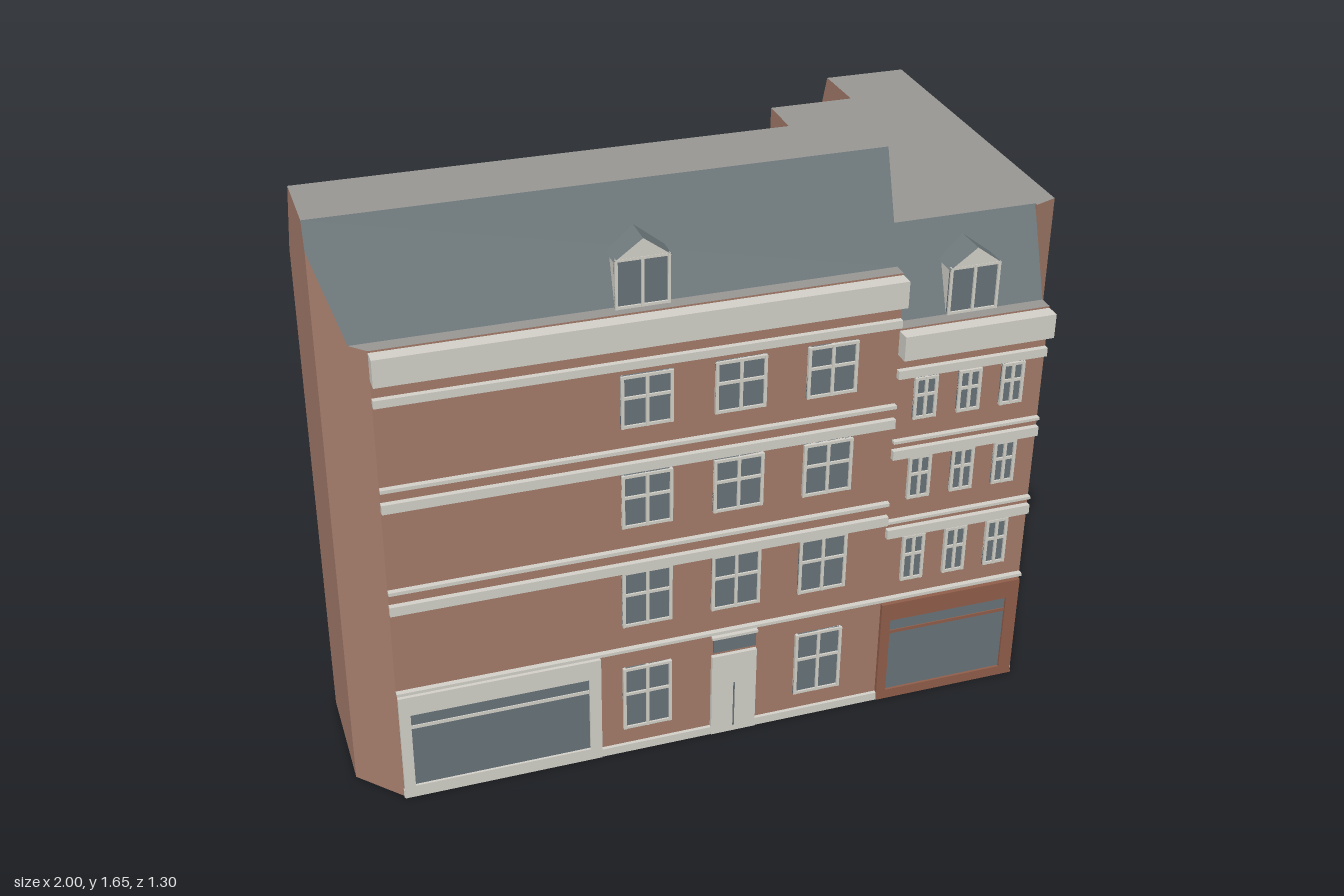
import * as THREE from 'three';

const mat = (name, color, side = THREE.FrontSide) => {
  const m = new THREE.MeshStandardMaterial({ color, side });
  m.name = name;
  return m;
};

export function createModel() {
  const model = new THREE.Group();
  model.name = 'townHouses';
  const D = THREE.DoubleSide;
  const brick = mat('brick', 0xa57d6b, D), slate = mat('slate', 0x707b7e, D);
  const flat = mat('flatRoof', 0x9a9895, D), white = mat('whiteTrim', 0xd4d2ca, D);
  const glass = mat('glass', 0x69747a), shopBrown = mat('shopfrontBrown', 0x925f4b);
  const F = 0.61; // street front

  // Flat polygons (convex, or fan-shaped from the first corner) in one mesh
  function faces(name, material, polys, parent = model) {
    const pos = [];
    for (const p of polys)
      for (let i = 1; i < p.length - 1; i++) pos.push(...p[0], ...p[i], ...p[i + 1]);
    const g = new THREE.BufferGeometry();
    g.setAttribute('position', new THREE.Float32BufferAttribute(pos, 3));
    g.computeVertexNormals();
    const m = new THREE.Mesh(g, material);
    m.name = name;
    parent.add(m);
  }
  // Horizontal plate from an x,z outline
  function plate(name, material, outline, y) {
    const g = new THREE.ShapeGeometry(new THREE.Shape(outline.map(p => new THREE.Vector2(...p))));
    const m = new THREE.Mesh(g.rotateX(Math.PI / 2), material);
    m.position.y = y;
    m.name = name;
    model.add(m);
  }
  function box(name, material, x0, x1, y0, y1, z0, z1, parent = model) {
    const m = new THREE.Mesh(new THREE.BoxGeometry(x1 - x0, y1 - y0, z1 - z0), material);
    m.position.set((x0 + x1) / 2, (y0 + y1) / 2, (z0 + z1) / 2);
    m.name = name;
    parent.add(m);
  }
  const wall = ([x0, z0], [x1, z1], top, y0 = 0) => [[x0, y0, z0], [x1, y0, z1], [x1, top, z1], [x0, top, z0]];

  // Tall house: walls with a chamfered left corner
  faces('tallHouseWalls', brick, [
    wall([-0.89, F], [0.48, F], 1.36),
    wall([0.48, 0.19], [-1, 0.16], 1.44),
    [[-1, 0, 0.495], [-0.89, 0, F], [-0.89, 1.36, F], [-0.93, 1.36, 0.57], [-1, 1.58, 0.495]],
    [[-1, 0, 0.16], [-1, 0, 0.495], [-1, 1.58, 0.495], [-1, 1.65, 0.47], [-1, 1.65, 0.26], [-1, 1.44, 0.16]],
    [[0.48, 0, 0.57], [0.48, 0, 0.19], [0.48, 1.44, 0.19], [0.48, 1.65, 0.265], [0.48, 1.65, 0.47], [0.48, 1.36, 0.57]],
    [[0.48, 0, F], [0.48, 0, 0.57], [0.48, 1.36, 0.57], [0.48, 1.36, F]],
  ]);
  plate('tallHouseFloor', brick, [[-1, 0.16], [0.48, 0.19], [0.48, F], [-0.89, F], [-1, 0.495]], 0);
  faces('tallHouseRoofSlopes', slate, [
    [[-1, 1.65, 0.47], [-1, 1.58, 0.495], [-0.93, 1.36, 0.57], [0.48, 1.36, 0.57], [0.48, 1.65, 0.47]],
    [[0.48, 1.65, 0.265], [0.48, 1.44, 0.19], [-1, 1.44, 0.16], [-1, 1.65, 0.26]],
  ]);
  plate('tallHouseFlatRoof', flat, [[-1, 0.26], [0.48, 0.265], [0.48, 0.47], [-1, 0.47]], 1.65);
  plate('tallHouseEavesLedge', flat, [[-0.93, 0.57], [0.48, 0.57], [0.48, F], [-0.89, F]], 1.36);

  // Low house: long rear wing with a step; the rear roof slope is open
  faces('lowHouseWalls', brick, [
    wall([0.48, F], [0.91, F], 1.2),
    wall([0.91, F], [0.91, 0.57], 1.2),
    [[0.91, 0, 0.57], [0.91, 0, 0.48], [0.91, 1.44, 0.48], [0.91, 1.2, 0.57]],
    wall([0.91, 0.49], [0.975, 0.465], 1.44),
    [[0.975, 0, 0.465], [1, 0, -0.65], [1, 1.2, -0.65], [0.998, 1.44, -0.565], [0.975, 1.44, 0.465]],
    wall([1, -0.65], [0.75, -0.65], 1.2),
    [[0.75, 0, -0.65], [0.75, 0, -0.38], [0.75, 1.44, -0.38], [0.75, 1.44, -0.565], [0.75, 1.2, -0.65]],
    wall([0.75, -0.38], [0.495, -0.38], 1.44),
    wall([0.495, -0.38], [0.481, 0.48], 1.44),
  ]);
  plate('lowHouseFloor', brick, [[0.48, F], [0.91, F], [0.91, 0.49], [0.975, 0.465], [1, -0.65],
    [0.75, -0.65], [0.75, -0.38], [0.495, -0.38]], 0);
  plate('lowHouseFlatRoof', flat, [[0.48, 0.48], [0.91, 0.48], [0.91, 0.49], [0.975, 0.465], [0.998, -0.565],
    [0.75, -0.565], [0.75, -0.38], [0.495, -0.38]], 1.44);
  faces('lowHouseRoofSlope', slate, [[[0.48, 1.44, 0.48], [0.48, 1.2, 0.57], [0.91, 1.2, 0.57], [0.91, 1.44, 0.48]]]);
  plate('lowHouseEavesLedge', flat, [[0.48, 0.57], [0.91, 0.57], [0.91, F], [0.48, F]], 1.2);

  // Cornices and string courses
  box('tallHouseCornice', white, -0.89, 0.48, 1.28, 1.355, F, 0.65);
  box('lowHouseCornice', white, 0.48, 0.91, 1.125, 1.195, F, 0.65);
  for (const [y0, y1] of [[1.21, 1.232], [0.97, 0.98], [0.91, 0.937], [0.665, 0.675], [0.602, 0.63], [0.345, 0.354]])
    box('tallHouseStringCourse', white, -0.89, 0.48, y0, y1, F, 0.625);
  for (const [y0, y1] of [[1.057, 1.082], [0.86, 0.868], [0.81, 0.838], [0.605, 0.613], [0.557, 0.585], [0.345, 0.354]])
    box('lowHouseStringCourse', white, 0.48, 0.91, y0, y1, F, 0.625);
  for (const [x0, x1] of [[-0.89, -0.02], [0.11, 0.91]])
    box('plinth', white, x0, x1, 0, 0.025, F, 0.62);

  // Window: glass plate, frame, mullion and crossbars
  function pane(name, cx, w, y0, y1, z, bars, t) {
    const g = new THREE.Group();
    g.name = name;
    const x0 = cx - w / 2, x1 = cx + w / 2, h = y1 - y0;
    box('glass', glass, x0, x1, y0, y1, z, z + 0.005, g);
    for (const x of [x0, cx - t / 2, x1 - t]) box('upright', white, x, x + t, y0, y1, z, z + 0.011, g);
    for (const f of [0, ...bars, 1]) {
      const y = y0 + f * (h - t);
      box('rail', white, x0, x1, y, y + t, z, z + 0.01, g);
    }
    model.add(g);
  }
  const rows = [[1.04, 1.19], [0.74, 0.9], [0.425, 0.602], [0.08, 0.285]];
  rows.forEach(([y0, y1], i) => [-0.205, 0.045, 0.295].forEach((x, j) => {
    if (i < 3 || j !== 1) pane('tallHouseWindow', x, 0.138, y0, y1, F, [0.58], 0.008);
  }));
  for (const [y0, y1] of [[0.925, 1.05], [0.675, 0.808], [0.405, 0.552]])
    for (const x of [0.565, 0.692, 0.818]) pane('lowHouseWindow', x, 0.066, y0, y1, F, [0.58], 0.008);

  // Shopfronts: frame around a large pane with a glazing bar
  function shopfront(name, m, x0, x1, gx0, gx1, gy0, gy1, top) {
    const g = new THREE.Group();
    g.name = name;
    box('display', glass, gx0, gx1, gy0, gy1, F, F + 0.005, g);
    box('leftPost', m, x0, gx0, 0, top, F, 0.622, g);
    box('rightPost', m, gx1, x1, 0, top, F, 0.622, g);
    box('fascia', m, gx0, gx1, gy1, top, F, 0.622, g);
    box('stallRiser', m, gx0, gx1, 0, gy0, F, 0.622, g);
    box('glazingBar', m, gx0, gx1, gy1 - 0.048, gy1 - 0.038, F, 0.618, g);
    model.add(g);
  }
  shopfront('wideShopfront', white, -0.888, -0.337, -0.858, -0.37, 0.037, 0.275, 0.335);
  shopfront('narrowShopfront', shopBrown, 0.482, 0.908, 0.51, 0.87, 0.03, 0.275, 0.332);

  // Front door with transom
  box('frontDoorLeaf', white, -0.02, 0.11, 0, 0.268, F, 0.622);
  box('doorJoint', glass, 0.043, 0.047, 0.02, 0.17, 0.622, 0.624);
  box('doorTransom', glass, -0.015, 0.108, 0.28, 0.325, F, 0.618);
  box('doorLintel', white, -0.02, 0.112, 0.325, 0.333, F, 0.622);

  // Dormer: white cheeks and pediment, slate gable roof running into the slope
  function dormer(cx, y, backEaves, backRidge) {
    const g = new THREE.Group();
    g.name = 'dormer';
    const w = 0.075, e = y + 0.13, a = y + 0.185, z = 0.585;
    for (const s of [-1, 1]) {
      const x = cx + s * (w - 0.008);
      faces('cheek', white, [[[x, y, z], [x, e, z], [x, e, backEaves], [x, y, 0.57]]], g);
      faces('dormerRoof', slate, [[[cx, a, z + 0.007], [cx + s * w, e, z + 0.007],
        [cx + s * w, e, backEaves], [cx, a, backRidge]]], g);
    }
    faces('pediment', white, [[[cx - w, e, z + 0.004], [cx + w, e, z + 0.004], [cx, a, z + 0.004]]], g);
    model.add(g);
    pane('dormerWindow', cx, 0.142, y, e + 0.005, z - 0.005, [], 0.007);
  }
  dormer(-0.207, 1.362, 0.52, 0.5);
  dormer(0.694, 1.208, 0.52, 0.5);

  return model;
}
